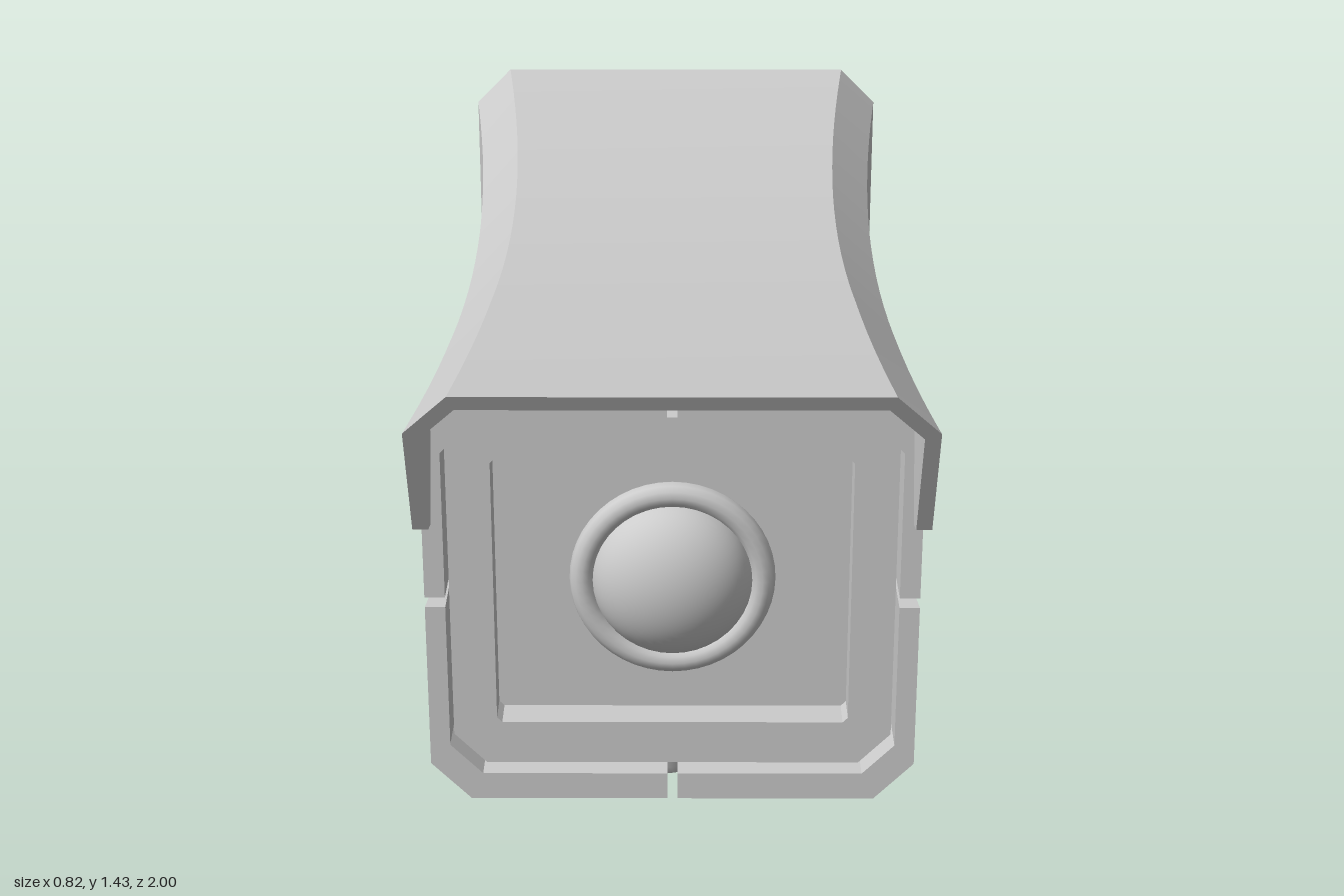
import * as THREE from 'three';
import { toCreasedNormals } from 'three/addons/utils/BufferGeometryUtils.js';

const V = (x, y) => new THREE.Vector2(x, y);

// Solid through cross-sections, ordered back to front; points are [x, y, z]
function loft(rings) {
  const flat = r => r.map(p => V(p[0], p[1]));
  if (THREE.ShapeUtils.isClockWise(flat(rings[0]))) rings = rings.map(r => [...r].reverse());
  const pos = [], n = rings[0].length;
  const tri = (a, b, c) => pos.push(...a, ...b, ...c);
  for (let k = 0; k < rings.length - 1; k++) {
    const a = rings[k], b = rings[k + 1];
    for (let i = 0; i < n; i++) {
      const j = (i + 1) % n;
      tri(a[i], a[j], b[j]);
      tri(a[i], b[j], b[i]);
    }
  }
  const back = rings[0], front = rings[rings.length - 1];
  for (const [a, b, c] of THREE.ShapeUtils.triangulateShape(flat(back), [])) tri(back[a], back[c], back[b]);
  for (const [a, b, c] of THREE.ShapeUtils.triangulateShape(flat(front), [])) tri(front[a], front[b], front[c]);
  const g = new THREE.BufferGeometry();
  g.setAttribute('position', new THREE.Float32BufferAttribute(pos, 3));
  return toCreasedNormals(g, 0.4);
}

const steps = (a, b, n) => Array.from({ length: n + 1 }, (_, i) => a + (b - a) * i / n);

// Waisted outline of the housing along z
const MID = 1.035, GAP = 0.008, CH = 0.062;
const bodyW = z => 0.343 + 0.058 * (z - 0.08) ** 2;
const bodyBottom = z => 0.735 - 0.06 * (z - 0.05) ** 2;
const hoodTop = z => 1.372 + 0.07 * (z - 0.05) ** 2;
const hoodW = z => 0.353 + 0.058 * (z - 0.08) ** 2;
const bodyEdge = (z, sy, off) => sy < 0 ? bodyBottom(z) + off : hoodTop(z) - 0.042 - off;

// Lower edge of the hood side, as [z, y]
const hem = [[-0.89, 1.085], [-0.6, 1.085], [-0.55, 1.165], [-0.2, 1.16], [-0.15, 1.08],
  [0.41, 1.08], [0.46, 1.162], [0.88, 1.165]];
function hemY(z) {
  for (let i = 1; i < hem.length; i++) {
    const [z0, y0] = hem[i - 1], [z1, y1] = hem[i];
    if (z <= z1) return y0 + (y1 - y0) * (z - z0) / (z1 - z0);
  }
  return hem[hem.length - 1][1];
}

function octagon(w, y0, y1, c) {
  return [V(-w + c, y0), V(w - c, y0), V(w, y0 + c), V(w, y1 - c), V(w - c, y1), V(-w + c, y1), V(-w, y1 - c), V(-w, y0 + c)];
}

export function createModel() {
  const model = new THREE.Group();
  const mat = new THREE.MeshStandardMaterial({ color: 0xcccccc });
  const add = (name, geo, x = 0, y = 0, z = 0, parent = model) => {
    const m = new THREE.Mesh(geo, mat);
    m.name = name;
    m.position.set(x, y, z);
    parent.add(m);
    return m;
  };

  // Inner core, seen only through the seams and behind the lens
  add('core', loft(steps(-0.88, 0.772, 20).map(z => {
    const w = bodyW(z) - 0.03;
    return octagon(w, bodyBottom(z) + 0.03, hoodTop(z) - 0.072, CH).map(p => [p.x, p.y, z]);
  })));

  // Housing shell in four quarters, banded towards the back
  const bands = [[-0.89, -0.78, 0.006, 2], [-0.78, -0.64, 0.018, 2], [-0.64, -0.5, 0.003, 2],
    [-0.5, -0.36, 0.014, 2], [-0.36, 0.77, 0, 16]];
  for (const sx of [-1, 1]) for (const sy of [-1, 1]) {
    const quarter = new THREE.Group();
    quarter.name = (sy > 0 ? 'upper' : 'lower') + (sx > 0 ? 'Left' : 'Right') + 'Shell';
    model.add(quarter);
    const ym = MID + sy * GAP;
    for (const [z0, z1, off, n] of bands) {
      add('shellBand', loft(steps(z0, z1, n).map(z => {
        const w = bodyW(z) - off, e = bodyEdge(z, sy, off);
        return [[GAP, ym], [GAP, e], [w - CH, e], [w, e - sy * CH], [w, ym]].map(([x, y]) => [sx * x, y, z]);
      })), 0, 0, 0, quarter);
    }
    // Raised rim around the front face
    const yi = sy < 0 ? 0.74 : 1.33, wi = 0.347, ci = 0.05;
    add('frontRim', loft([0.77, 0.86].map(z => {
      const w = bodyW(z), e = bodyEdge(z, sy, 0);
      return [[GAP, e], [w - CH, e], [w, e - sy * CH], [w, ym], [wi, ym],
        [wi, yi - sy * ci], [wi - ci, yi], [GAP, yi]].map(([x, y]) => [sx * x, y, z]);
    })), 0, 0, 0, quarter);
  }

  // Front panel with its rectangular window
  const panel = new THREE.Shape(octagon(0.343, 0.744, 1.326, 0.05));
  panel.holes.push(new THREE.Path(octagon(0.275, 0.815, 1.26, 0.008).reverse()));
  add('frontPanel', new THREE.ExtrudeGeometry(panel, { depth: 0.06, bevelEnabled: false }), 0, 0, 0.77);

  // Lens
  add('lensRing', new THREE.TorusGeometry(0.14, 0.02, 12, 48), 0, 1.04, 0.777);
  const lens = new THREE.SphereGeometry(0.126, 40, 20, 0, Math.PI * 2, 0, Math.PI / 2);
  lens.rotateX(Math.PI / 2);
  lens.scale(1, 1, 0.7);
  add('lens', lens, 0, 1.04, 0.772);

  // Hood with stepped side edges and a raked front
  const stations = [...new Set([...hem.map(p => p[0]), ...steps(-0.85, 0.85, 20)])].sort((a, b) => a - b);
  add('hood', loft(stations.map(s => {
    const w = hoodW(s), t = hoodTop(s), b = hemY(s), k = 0.024, c = 0.068;
    const half = [[w, b], [w, t - c], [w - c, t]];
    const inner = [[w - c - k * 0.4, t - k], [w - k, t - c - k * 0.4], [w - k, b]];
    const flip = a => a.map(([x, y]) => [-x, y]).reverse();
    const rake = 0.46 * Math.max(0, (s - 0.46) / 0.42);
    return [...half, ...flip(half), ...flip(inner), ...inner].map(([x, y]) => [x, y, s + rake * (y - 1.165)]);
  })));

  // Tilt bracket: waisted cheeks, round caps and floor
  const bracket = new THREE.Group();
  bracket.name = 'tiltBracket';
  model.add(bracket);
  const cheek = new THREE.Shape([V(0.14, 0.755), V(0.105, 0.585), V(0.14, 0.455), V(-0.185, 0.455), V(-0.15, 0.585), V(-0.185, 0.755)]);
  const cheekGeo = new THREE.ExtrudeGeometry(cheek, { depth: 0.015, bevelEnabled: false });
  cheekGeo.rotateY(-Math.PI / 2);
  cheekGeo.scale(-1, 1, 1);
  cheekGeo.scale(-1, 1, 1);
  for (const sx of [-1, 1]) {
    add('cheek', cheekGeo, sx > 0 ? 0.138 : -0.123, 0, 0, bracket);
    for (const [name, r, d] of [['pivotPlate', 0.112, 0.006], ['pivotCap', 0.08, 0.014], ['pivotScrew', 0.012, 0.018]]) {
      const disc = new THREE.CylinderGeometry(r, r, d, 40);
      disc.rotateZ(Math.PI / 2);
      add(name, disc, sx * (0.138 + d / 2), 0.605, -0.025, bracket);
    }
  }
  add('bracketFloor', new THREE.BoxGeometry(0.25, 0.01, 0.19), 0, 0.46, 0.045, bracket);

  // Post and swivel neck
  const MX = -0.02, MZ = -0.037;
  add('post', new THREE.CylinderGeometry(0.036, 0.036, 0.3, 32), MX, 0.6, MZ);
  const neck = new THREE.LatheGeometry([V(0, 0.287), V(0.055, 0.287), V(0.068, 0.293), V(0.076, 0.31), V(0.076, 0.405),
    V(0.07, 0.415), V(0.085, 0.455), V(0, 0.455)], 40);
  add('swivelNeck', toCreasedNormals(neck, 0.5), MX, 0, MZ);

  // Wall arm: two diverging channels open to the outside
  add('armTab', new THREE.BoxGeometry(0.09, 0.065, 0.1), MX, 0.357, -0.13);
  for (const sx of [-1, 1]) {
    const section = (z, xi, xo, yb, yt, t) => [[xi, yb], [xo, yb], [xo, yb + t], [xi + 0.012, yb + t],
      [xi + 0.012, yt - t], [xo, yt - t], [xo, yt], [xi, yt]].map(([x, y]) => [MX + sx * x, y, z]);
    add('armChannel', loft([section(-0.975, 0.068, 0.148, 0.115, 0.387, 0.016), section(-0.165, 0.01, 0.06, 0.325, 0.387, 0.016)]));
    add('armEnd', new THREE.BoxGeometry(0.079, 0.268, 0.018), MX + sx * 0.108, 0.252, -0.965);
    add('armTip', new THREE.BoxGeometry(0.05, 0.06, 0.018), MX + sx * 0.035, 0.356, -0.173);
  }

  // Wall plate with domed bolts
  const W = 0.295, H = 0.505, R = 0.08;
  const plate = new THREE.Shape();
  plate.absarc(W - R, R, R, -Math.PI / 2, 0);
  plate.absarc(W - R, H - R, R, 0, Math.PI / 2);
  plate.absarc(-W + R, H - R, R, Math.PI / 2, Math.PI);
  plate.absarc(-W + R, R, R, Math.PI, Math.PI * 1.5);
  add('wallPlate', new THREE.ExtrudeGeometry(plate, { depth: 0.028, bevelEnabled: false, curveSegments: 10 }), MX, 0, -1);
  const bolt = new THREE.SphereGeometry(0.04, 24, 10, 0, Math.PI * 2, 0, Math.PI / 2);
  bolt.rotateX(Math.PI / 2);
  bolt.scale(1, 1, 0.75);
  for (const sx of [-1, 1]) for (const y of [0.07, 0.44]) add('bolt', bolt, MX + sx * 0.222, y, -0.972);

  return model;
}
